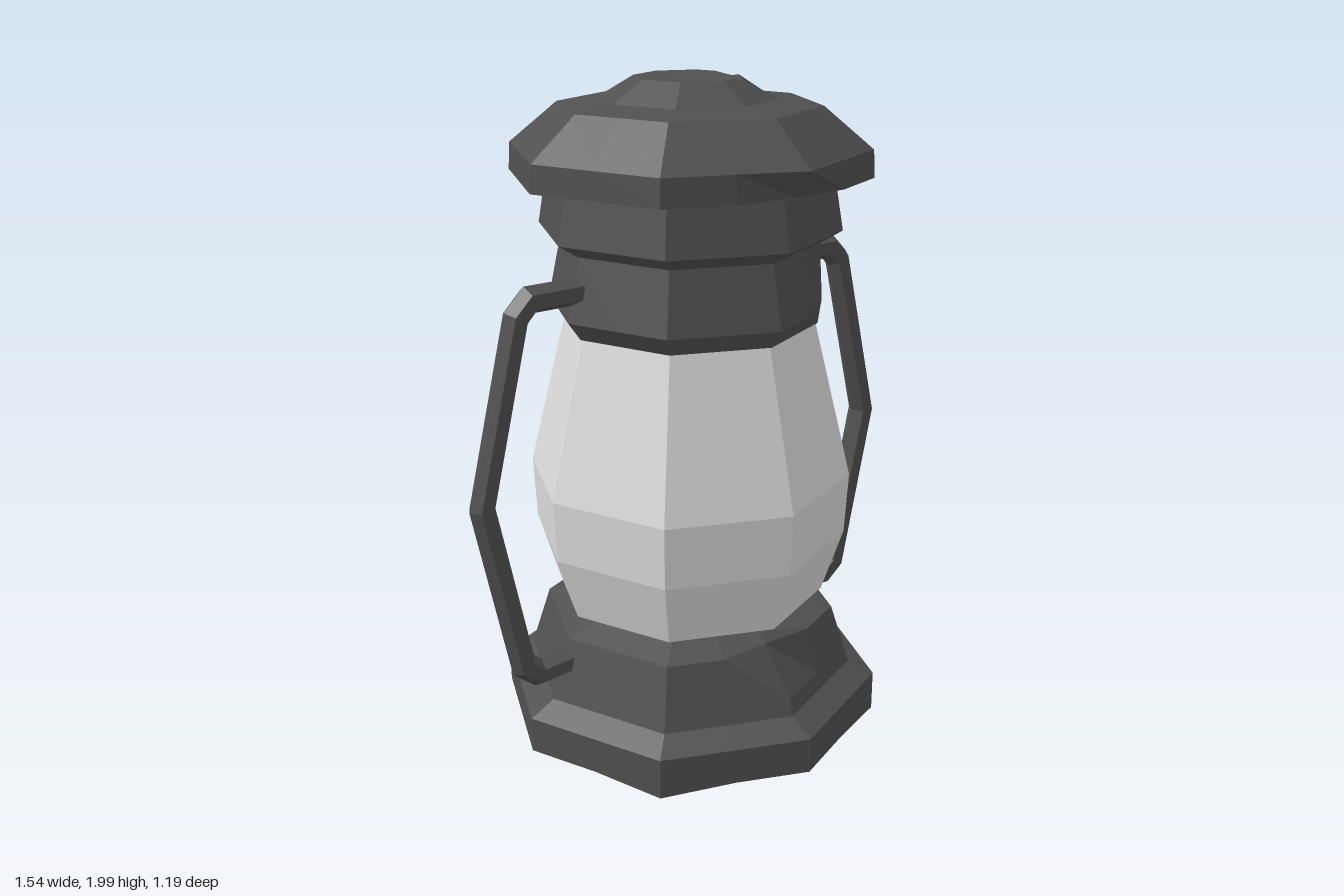
import * as THREE from 'three';

const SIDES = 8;

// Flat facets: every triangle gets its own normal
function faceted(geometry) {
  const g = geometry.toNonIndexed();
  g.computeVertexNormals();
  return g;
}

// Eight-sided turned part with a point halfway along each side, so that chips stay local.
// Dents are [step, ring, radius factor, height shift]; step 0 is the front corner, even steps are corners.
function turned(name, profile, material, dents = []) {
  const rings = profile.length, steps = SIDES * 2;
  const g = new THREE.LatheGeometry(profile.map(([r, y]) => new THREE.Vector2(r, y)), steps);
  const p = g.attributes.position;
  const scale = (i, k, dy) => p.setXYZ(i, p.getX(i) * k, p.getY(i) + dy, p.getZ(i) * k);
  for (let s = 1; s < steps; s += 2) {
    for (let j = 0; j < rings; j++) scale(s * rings + j, Math.cos(Math.PI / SIDES), 0);
  }
  for (const [step, ring, k, dy] of dents) {
    for (let s = step; s <= steps; s += steps) scale(s * rings + ring, k, dy);
  }
  const mesh = new THREE.Mesh(faceted(g), material);
  mesh.name = name;
  return mesh;
}

// Bent rod in the x-y plane: mitred six-sided rings joined in a loop
function rod(name, path, radius, material) {
  const n = 6, pos = [], idx = [];
  const pts = path.map(([x, y]) => new THREE.Vector2(x, y));
  pts.forEach((c, i) => {
    const a = c.clone().sub(pts[Math.max(i - 1, 0)]).normalize();
    const b = pts[Math.min(i + 1, pts.length - 1)].clone().sub(c).normalize();
    const t = a.clone().add(b).normalize();
    const miter = 1 / Math.max(t.dot(i ? a : b), 0.7);
    for (let j = 0; j < n; j++) {
      const w = (j / n) * Math.PI * 2;
      const u = Math.cos(w) * radius * miter;
      pos.push(c.x + t.y * u, c.y - t.x * u, Math.sin(w) * radius);
    }
  });
  for (let i = 0; i < pts.length - 1; i++) {
    for (let j = 0; j < n; j++) {
      const a = i * n + j, b = i * n + (j + 1) % n;
      idx.push(a, a + n, b, b, a + n, b + n);
    }
  }
  // end caps
  const last = (pts.length - 1) * n;
  for (let j = 1; j < n - 1; j++) idx.push(0, j, j + 1, last, last + j + 1, last + j);
  const g = new THREE.BufferGeometry();
  g.setAttribute('position', new THREE.Float32BufferAttribute(pos, 3));
  g.setIndex(idx);
  const mesh = new THREE.Mesh(faceted(g), material);
  mesh.name = name;
  return mesh;
}

export function createModel() {
  const metal = new THREE.MeshStandardMaterial({ color: 0x505050 });
  metal.name = 'dark metal';
  const glass = new THREE.MeshStandardMaterial({ color: 0xdcdcdc });
  glass.name = 'pale glass';

  const lantern = new THREE.Group();
  lantern.name = 'lantern';

  // Stepped foot with a chipped front shoulder
  lantern.add(turned('base', [
    [0, 0.01], [0.595, 0.02], [0.595, 0.13], [0.515, 0.17], [0.5, 0.215],
    [0.455, 0.357], [0.34, 0.392], [0, 0.392],
  ], metal, [[0, 5, 0.84, 0], [8, 2, 0.93, 0.01], [2, 1, 1, -0.015], [14, 1, 1, -0.015]]));

  // Bulging glass chimney
  lantern.add(turned('glass', [
    [0.32, 0.375], [0.42, 0.42], [0.485, 0.62], [0.495, 0.81], [0.375, 1.3],
  ], glass));

  // Two flared collars under the cap, the lower one chipped at a front corner
  lantern.add(turned('lowerCollar', [
    [0, 1.285], [0.385, 1.285], [0.425, 1.34], [0.385, 1.53], [0, 1.53],
  ], metal, [[2, 2, 0.93, 0.02]]));
  lantern.add(turned('upperCollar', [
    [0, 1.52], [0.385, 1.525], [0.45, 1.565], [0.42, 1.74], [0, 1.74],
  ], metal));

  // Wide cap with a nicked front rim and a shallow sunken crown
  lantern.add(turned('cap', [
    [0, 1.72], [0.535, 1.72], [0.53, 1.8], [0.385, 1.92], [0.26, 1.937],
    [0.16, 1.997], [0, 1.98],
  ], metal, [[0, 1, 0.87, 0], [2, 5, 1, -0.015], [4, 5, 1.05, -0.012]]));

  // Mirrored side handles
  const path = [[0.36, 1.43], [0.55, 1.43], [0.595, 1.385], [0.727, 0.85], [0.615, 0.32], [0.565, 0.28], [0.42, 0.29]];
  const mirrored = path.map(([x, y]) => [-x, y]).reverse();
  lantern.add(rod('leftHandle', path, 0.04, metal));
  lantern.add(rod('rightHandle', mirrored, 0.04, metal));

  return lantern;
}
